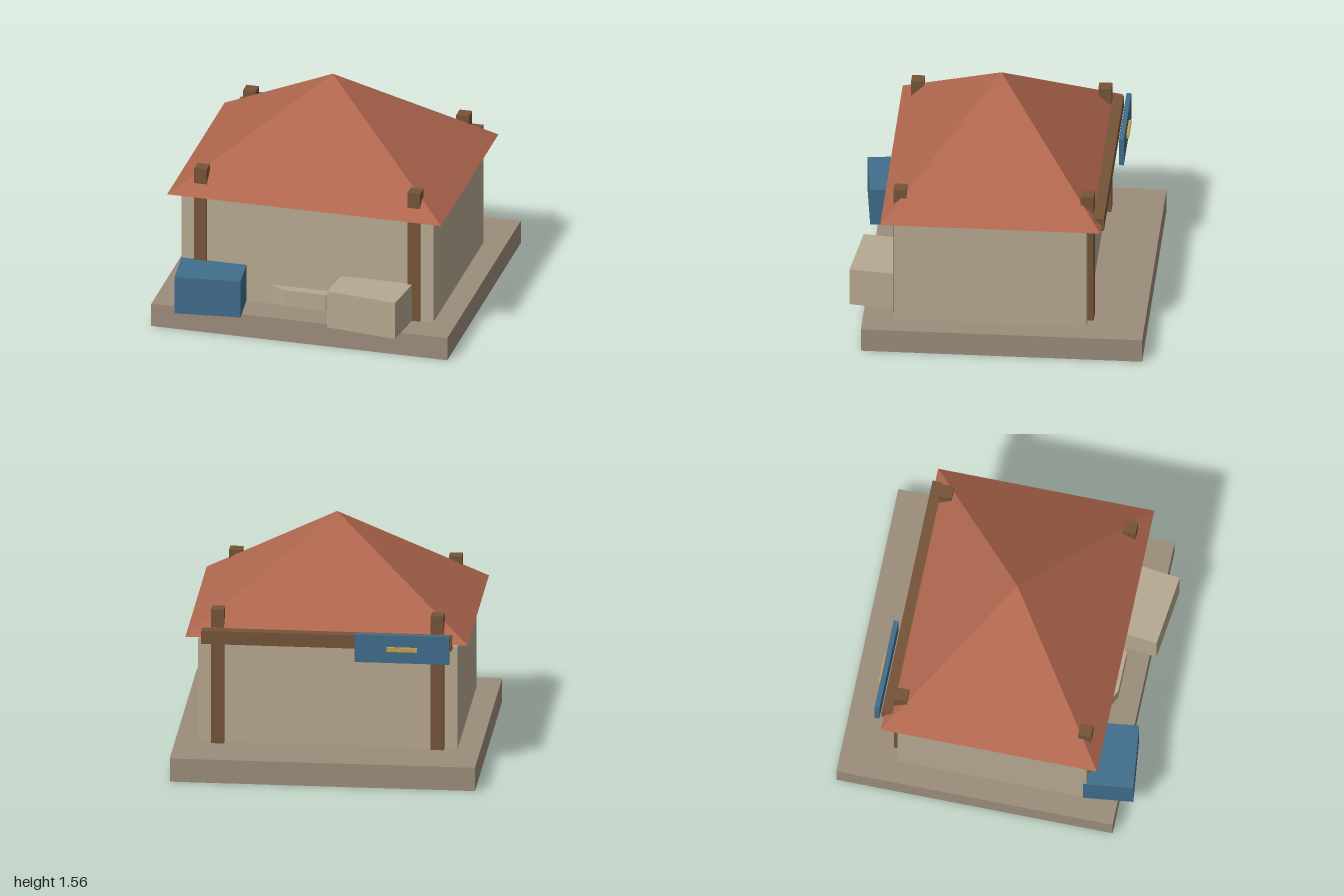
import * as THREE from 'three';

const COLORS = {
  stone: 0x9c8d7b, wall: 0xb7a991, roof: 0xb0674e,
  wood: 0x755439, blue: 0x416e8c, brass: 0xc9a04a,
};
const materials = Object.fromEntries(Object.entries(COLORS).map(([key, color]) =>
  [key, new THREE.MeshStandardMaterial({ color, flatShading: true })]));

export function createModel() {
  const model = new THREE.Group();
  model.name = 'pavilion';

  function add(name, geometry, material) {
    const mesh = new THREE.Mesh(geometry, materials[material]);
    mesh.name = name;
    model.add(mesh);
    return mesh;
  }

  // Box given by its extents along each axis
  function block(name, material, [x0, x1], [y0, y1], [z0, z1]) {
    const mesh = add(name, new THREE.BoxGeometry(x1 - x0, y1 - y0, z1 - z0), material);
    mesh.position.set((x0 + x1) / 2, (y0 + y1) / 2, (z0 + z1) / 2);
    return mesh;
  }

  // Plinth and walled room
  block('plinth', 'stone', [-1, 1], [0, 0.16], [-0.975, 0.865]);
  block('walls', 'wall', [-0.85, 0.85], [0.16, 0.865], [-0.6, 0.66]);

  // Pyramid roof
  const roof = add('roof', new THREE.ConeGeometry(Math.SQRT1_2, 1, 4, 1, false, Math.PI / 4), 'roof');
  roof.scale.set(1.85, 0.655, 1.44);
  roof.position.set(0, 0.905 + 0.655 / 2, 0.025);

  // Corner posts rising through the roof
  for (const x of [-0.72, 0.72]) {
    for (const z of [-0.597, 0.628]) {
      block('post', 'wood', [x - 0.0425, x + 0.0425], [0.16, 1.08], [z - 0.0425, z + 0.0425]);
    }
  }

  // Beams under the eaves
  block('backBeam', 'wood', [-0.82, 0.82], [0.865, 0.955], [-0.71, -0.625]);
  block('crossBeam', 'wood', [0.07, 0.85], [0.865, 0.95], [0.17, 0.25]);

  // Hanging board with a brass strip
  block('board', 'blue', [-0.81, -0.19], [0.79, 0.98], [-0.76, -0.728]);
  block('boardStrip', 'brass', [-0.6, -0.4], [0.872, 0.9], [-0.777, -0.76]);

  // Crates set at a slight angle in front
  const blueCrate = block('blueCrate', 'blue', [-0.837, -0.401], [0.16, 0.42], [0.611, 0.941]);
  blueCrate.rotation.y = 0.116;
  const paleCrate = block('paleCrate', 'wall', [0.217, 0.695], [0.16, 0.42], [0.609, 0.939]);
  paleCrate.rotation.y = -0.116;

  // Faceted ledge on the front wall
  const outline = new THREE.Shape([
    [-0.25, -0.65], [-0.25, -0.66], [-0.135, -0.724], [0.135, -0.724], [0.25, -0.66], [0.25, -0.65],
  ].map(([x, y]) => new THREE.Vector2(x, y)));
  const ledge = add('ledge', new THREE.ExtrudeGeometry(outline, { depth: 0.115, bevelEnabled: false }), 'wall');
  ledge.rotation.x = -Math.PI / 2;
  ledge.position.y = 0.185;

  return model;
}
